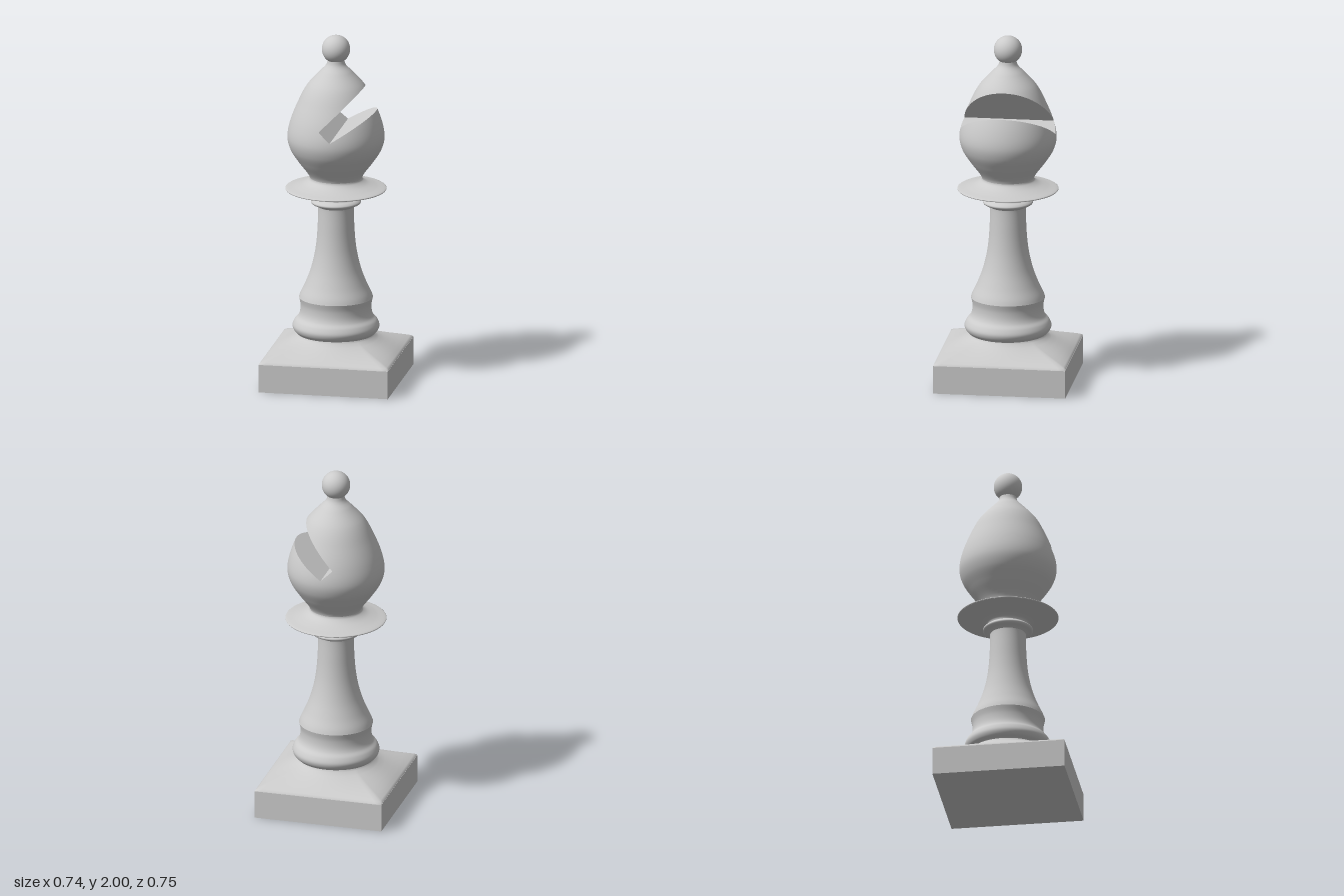
import * as THREE from 'three';

const material = new THREE.MeshStandardMaterial({ color: 0xcccccc });
const v2 = ([x, y]) => new THREE.Vector2(x, y);

function add(group, name, geometry) {
  const mesh = new THREE.Mesh(geometry, material);
  mesh.name = name;
  group.add(mesh);
  return mesh;
}

// Smooth turned part: profile listed from bottom to top as [radius, y]
function turned(points, divisions = 48) {
  return new THREE.LatheGeometry(new THREE.SplineCurve(points.map(v2)).getPoints(divisions), 96);
}

// Closed rings of points stacked upward; keep(row, column) can leave quads out
function rings(rows, columns, point, keep = () => true) {
  const positions = [], index = [];
  for (let i = 0; i < rows; i++) {
    for (let j = 0; j < columns; j++) {
      positions.push(...point(i, j));
      if (i === rows - 1 || !keep(i, j)) continue;
      const k = (j + 1) % columns;
      const a = i * columns + j, b = i * columns + k;
      index.push(a, a + columns, b, b, a + columns, b + columns);
    }
  }
  const geometry = new THREE.BufferGeometry();
  geometry.setAttribute('position', new THREE.Float32BufferAttribute(positions, 3));
  geometry.setIndex(index);
  geometry.computeVertexNormals();
  return geometry;
}

// Head radius by height, smoothly interpolated between a few knots
const knots = [[1.15, 0.142], [1.19, 0.153], [1.27, 0.212], [1.34, 0.256], [1.41, 0.273], [1.5, 0.258],
  [1.61, 0.215], [1.71, 0.163], [1.79, 0.092], [1.83, 0.055], [1.87, 0.045]];
function headRadius(y) {
  let i = 0;
  while (i < knots.length - 2 && y > knots[i + 1][0]) i++;
  const slope = (n) => {
    const a = knots[Math.max(n - 1, 0)], b = knots[Math.min(n + 1, knots.length - 1)];
    return (b[1] - a[1]) / (b[0] - a[0]);
  };
  const [y0, r0] = knots[i], [y1, r1] = knots[i + 1];
  const h = y1 - y0, t = (y - y0) / h, u = 1 - t;
  return r0 * (1 + 2 * t) * u * u + r1 * t * t * (3 - 2 * t) + h * t * u * (slope(i) * u - slope(i + 1) * t);
}

// Slanted notch, seen from the front: tip, floor corner and its two faces
const tip = [-0.05, 1.5], corner = [0.015, 1.44];
const notchTop = (x) => tip[1] + (x - tip[0]) * 0.98;
const notchBottom = (x) => x < corner[0]
  ? tip[1] + (x - tip[0]) * (corner[1] - tip[1]) / (corner[0] - tip[0])
  : corner[1] + (x - corner[0]) * 0.62;

// Height at which a notch face meets the head surface at a given angle
function meet(face, angle, low, high) {
  for (let n = 0; n < 40; n++) {
    const y = (low + high) / 2;
    if (y < face(headRadius(y) * Math.cos(angle))) low = y; else high = y;
  }
  return low;
}

function buildHead(group) {
  // Angles are spaced so that columns land on the notch corner and tip
  const stops = [0, Math.acos(corner[0] / headRadius(corner[1])), Math.acos(tip[0] / headRadius(tip[1])), Math.PI];
  const counts = [28, 6, 28];
  const half = [0];
  counts.forEach((count, s) => {
    for (let n = 1; n <= count; n++) half.push(THREE.MathUtils.lerp(stops[s], stops[s + 1], n / count));
  });
  const open = counts[0] + counts[1];
  const angles = [...half, ...half.slice(1, -1).reverse().map((a) => 2 * Math.PI - a)];
  const cuts = angles.map((a, j) => {
    const closed = Math.min(j, angles.length - j) >= open;
    return closed ? [tip[1], tip[1]] : [meet(notchBottom, a, 1.3, 1.7), meet(notchTop, a, tip[1], 1.84)];
  });

  // Turned skin below and above the notch
  const n = 28;
  const skin = rings(2 * n + 2, angles.length, (i, j) => {
    const [low, high] = cuts[j];
    const y = i <= n ? THREE.MathUtils.lerp(1.15, low, i / n) : THREE.MathUtils.lerp(high, 1.87, (i - n - 1) / n);
    const r = headRadius(y);
    return [r * Math.cos(angles[j]), y, r * Math.sin(angles[j])];
  }, (i) => i !== n);
  const { position, normal } = skin.attributes;
  for (let i = 0; i < position.count; i++) {
    const a = angles[i % angles.length], y = position.getY(i);
    const slope = (headRadius(y + 0.002) - headRadius(y - 0.002)) / 0.004;
    const d = new THREE.Vector3(Math.cos(a), -slope, Math.sin(a)).normalize();
    normal.setXYZ(i, d.x, d.y, d.z);
  }
  add(group, 'head', skin);

  // Flat notch faces span from the front edge to the back edge
  ['notchFloor', 'notchRoof'].forEach((name, side) => {
    const points = [], index = [];
    for (let j = 0; j <= open; j++) {
      const y = cuts[j][side], r = headRadius(y);
      const x = r * Math.cos(half[j]), z = r * Math.sin(half[j]);
      points.push(x, y, z, x, y, -z);
      if (j === open) continue;
      const a = 2 * j;
      if (side === 0) index.push(a, a + 1, a + 2, a + 1, a + 3, a + 2);
      else index.push(a, a + 2, a + 1, a + 1, a + 2, a + 3);
    }
    const indexed = new THREE.BufferGeometry();
    indexed.setAttribute('position', new THREE.Float32BufferAttribute(points, 3));
    indexed.setIndex(index);
    const face = indexed.toNonIndexed();
    face.computeVertexNormals();
    add(group, name, face);
  });
}

export function createModel() {
  const group = new THREE.Group();
  group.name = 'chessPiece';

  // Square plinth
  add(group, 'plinth', new THREE.BoxGeometry(0.74, 0.16, 0.75)).position.y = 0.08;

  // Sloping top that blends from the square plinth to the round foot: [roundness, scale, y]
  const levels = [[0, 1, 0.155], [0, 0.995, 0.164], [0.04, 0.97, 0.173], [0.22, 0.9, 0.19],
    [0.45, 0.82, 0.207], [0.68, 0.73, 0.225], [0.88, 0.65, 0.242], [1, 0.595, 0.258], [1, 0.58, 0.27]];
  add(group, 'plinthSlope', rings(levels.length, 128, (i, j) => {
    const a = j / 128 * Math.PI * 2, c = Math.cos(a), s = Math.sin(a);
    const [round, scale, y] = levels[i];
    const reach = THREE.MathUtils.lerp(1 / Math.max(Math.abs(c), Math.abs(s)), 1, round) * scale;
    return [0.37 * reach * c, y, 0.375 * reach * s];
  }));

  // Foot moulding and stem, meeting in a crisp edge
  add(group, 'foot', turned([[0.212, 0.25], [0.216, 0.268], [0.236, 0.288], [0.244, 0.315], [0.232, 0.345],
    [0.211, 0.37], [0.201, 0.4], [0.2, 0.44], [0.208, 0.478]]));
  add(group, 'stem', turned([[0.208, 0.478], [0.198, 0.505], [0.172, 0.56], [0.142, 0.64], [0.12, 0.73],
    [0.108, 0.82], [0.102, 0.92], [0.1, 1.0], [0.104, 1.015]]));

  // Neck ring
  add(group, 'neckRing', turned([[0.1, 1.005], [0.115, 1.014], [0.135, 1.023], [0.141, 1.034],
    [0.132, 1.045], [0.117, 1.053], [0.113, 1.06]]));

  // Wide thin collar with a sharp rim
  add(group, 'collarUnderside', turned([[0.113, 1.055], [0.122, 1.072], [0.16, 1.085], [0.22, 1.096], [0.282, 1.106]]));
  add(group, 'collarTop', turned([[0.282, 1.106], [0.28, 1.114], [0.23, 1.126], [0.182, 1.142],
    [0.154, 1.16], [0.147, 1.175], [0.15, 1.188]]));

  buildHead(group);

  // Ball finial
  add(group, 'finial', new THREE.SphereGeometry(0.08, 48, 32)).position.y = 1.92;

  return group;
}
